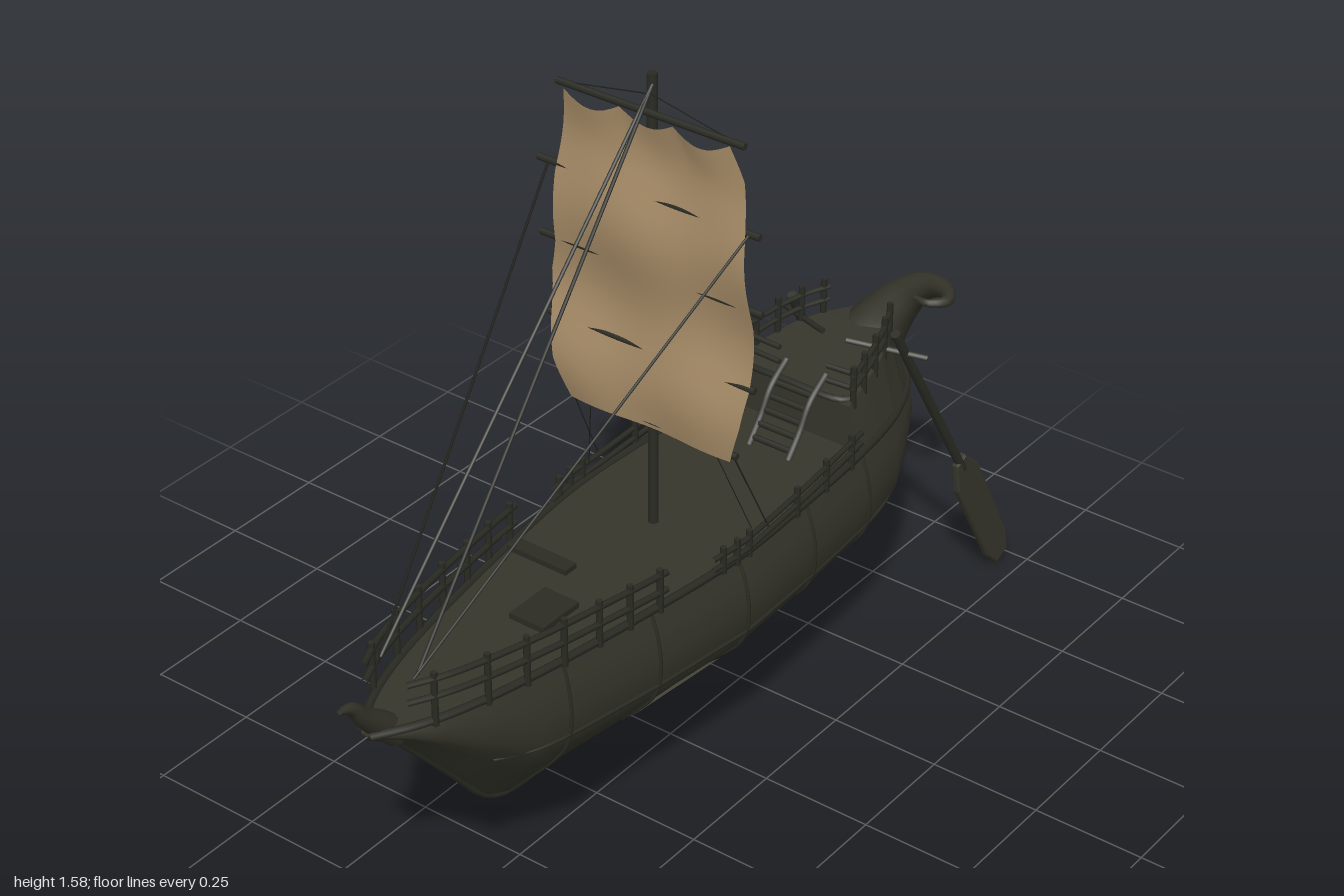
import * as THREE from 'three';

const D = THREE.DoubleSide;
const hullWood = new THREE.MeshStandardMaterial({ color: 0x35352b, side: D });
const trimWood = new THREE.MeshStandardMaterial({ color: 0x2b2b24 });
const rope = new THREE.MeshStandardMaterial({ color: 0x20201b });
const canvas = new THREE.MeshStandardMaterial({ color: 0xa88d68, side: D });
const paleWood = new THREE.MeshStandardMaterial({ color: 0x545344, side: D });

const V = (x, y, z) => new THREE.Vector3(x, y, z);
const DECK = 0.57;

// Linear lookup in rows sorted by their first value
function look(rows, t, col = 1) {
  if (t <= rows[0][0]) return rows[0][col];
  for (let i = 1; i < rows.length; i++) {
    const a = rows[i - 1], b = rows[i];
    if (t <= b[0]) return a[col] + (b[col] - a[col]) * (t - a[0]) / (b[0] - a[0]);
  }
  return rows[rows.length - 1][col];
}

// Hull stations: z, keel height, half width
const STATIONS = [
  [-0.77, 0.545, 0.045], [-0.74, 0.48, 0.08], [-0.69, 0.40, 0.125], [-0.62, 0.29, 0.16],
  [-0.55, 0.21, 0.185], [-0.41, 0.195, 0.21], [-0.19, 0.19, 0.227], [0.05, 0.185, 0.235],
  [0.30, 0.185, 0.205], [0.53, 0.187, 0.165], [0.60, 0.22, 0.15], [0.70, 0.335, 0.125],
  [0.80, 0.45, 0.09], [0.86, 0.515, 0.06], [0.93, 0.565, 0.012],
];
// Section shape: height fraction, width fraction
const SECTION = [[0, 0.02], [0.15, 0.33], [0.32, 0.68], [0.45, 0.89], [0.56, 0.98], [0.72, 1], [0.86, 0.96], [1, 0.88]];

function hullPoint(z, v, side, out = 0) {
  const keel = look(STATIONS, z, 1), w = look(STATIONS, z, 2);
  return V(side * (w * look(SECTION, v) + out), keel + (DECK - keel) * v - out * (v < 0.5 ? 0.6 : 0), z);
}

// Surface through a grid of points f(i, j)
function grid(ni, nj, f) {
  const pos = [], idx = [];
  for (let i = 0; i <= ni; i++) for (let j = 0; j <= nj; j++) pos.push(...f(i, j).toArray());
  for (let i = 0; i < ni; i++) for (let j = 0; j < nj; j++) {
    const a = i * (nj + 1) + j, b = a + nj + 1;
    idx.push(a, b, a + 1, b, b + 1, a + 1);
  }
  const g = new THREE.BufferGeometry();
  g.setAttribute('position', new THREE.Float32BufferAttribute(pos, 3));
  g.setIndex(idx);
  g.computeVertexNormals();
  return g;
}

export function createModel() {
  const model = new THREE.Group();
  const add = (name, geo, mat) => {
    const m = new THREE.Mesh(geo, mat);
    m.name = name;
    model.add(m);
    return m;
  };
  const bar = (name, a, b, r, mat = trimWood, sides = 6) => {
    const m = add(name, new THREE.CylinderGeometry(r, r, a.distanceTo(b), sides), mat);
    m.position.copy(a).lerp(b, 0.5);
    m.quaternion.setFromUnitVectors(V(0, 1, 0), b.clone().sub(a).normalize());
    return m;
  };
  const tube = (name, pts, r, mat = trimWood) =>
    add(name, new THREE.TubeGeometry(new THREE.CatmullRomCurve3(pts), pts.length * 4, r, 6), mat);
  // Tube whose radius follows a list spread along its path
  const taper = (name, rows, mat) => {
    const curve = new THREE.CatmullRomCurve3(rows.map(r => V(r[0], r[1], r[2])));
    const n = 40, ring = 12, g = new THREE.TubeGeometry(curve, n, 1, ring), p = g.attributes.position;
    for (let i = 0; i <= n; i++) {
      const c = curve.getPointAt(i / n), t = curve.getUtoTmapping(i / n) * (rows.length - 1);
      const r = look(rows.map((row, k) => [k, row[3]]), t);
      for (let j = 0; j <= ring; j++) {
        const k = i * (ring + 1) + j, q = V().fromBufferAttribute(p, k).sub(c).multiplyScalar(r).add(c);
        p.setXYZ(k, q.x, q.y, q.z);
      }
    }
    add(name, g, mat);
  };
  const range = (a, b, n) => Array.from({ length: n + 1 }, (_, i) => a + (b - a) * i / n);

  // Hull shell and deck
  const zs = STATIONS.map(s => s[0]), vs = SECTION.map(s => s[0]);
  const ring = [...vs.map(v => [v, 1]).reverse(), ...vs.map(v => [v, -1])];
  add('hull', grid(zs.length - 1, ring.length - 1, (i, j) => hullPoint(zs[i], ...ring[j])), hullWood);
  add('deck', grid(zs.length - 1, 1, (i, j) => hullPoint(zs[i], 1, j ? 1 : -1)), hullWood);
  add('sternPanel', grid(1, vs.length - 1, (i, j) => hullPoint(-0.77, vs[j], i ? 1 : -1)), hullWood);

  // Ribs, wales, gunwales and side panels
  for (const s of [-1, 1]) {
    for (const z of [-0.41, -0.19, 0.05, 0.3, 0.53])
      tube('rib', vs.map(v => hullPoint(z, v, s)), 0.004);
    tube('gunwale', zs.map(z => hullPoint(z, 1, s)), 0.009);
    tube('wale', range(-0.6, 0.68, 14).map(z => hullPoint(z, (0.4 - look(STATIONS, z)) / (DECK - look(STATIONS, z)), s)), 0.005);
    for (const [a, b] of [[0.06, 0.295], [-0.4, -0.2]])
      add('sidePanel', grid(6, 2, (i, j) => hullPoint(a + (b - a) * i / 6, 0.22 + 0.06 * j, s, 0.005)), paleWood);
  }

  // Keel, prow and skeg
  tube('keel', [...STATIONS].map(s => V(0, s[1], s[0])), 0.007);
  taper('prow', [[0, 0.53, 0.85, 0.03], [0, 0.575, 0.895, 0.028], [0, 0.615, 0.935, 0.02], [0, 0.65, 0.965, 0.013], [0, 0.662, 0.995, 0.006]], hullWood);
  const skeg = new THREE.Shape([[0.42, 0.2], [0.56, 0.2], [0.645, 0.188], [0.66, 0.23], [0.625, 0.29], [0.675, 0.39], [0.55, 0.33]]
    .map(p => new THREE.Vector2(...p)));
  const skegGeo = new THREE.ExtrudeGeometry(skeg, { depth: 0.024, bevelThickness: 0.01, bevelSize: 0.006, bevelSegments: 2 });
  add('skeg', skegGeo.translate(0, 0, -0.012).rotateY(Math.PI / 2), hullWood);

  // Raised stern cabin with sloping walls
  const POOP = [[-0.72, 0.04, 0.7], [-0.65, 0.085, 0.7], [-0.58, 0.115, 0.695], [-0.5, 0.135, 0.685], [-0.41, 0.15, 0.67]];
  const poopTop = (z, s, up = 0) => V(s * look(POOP, z, 1), look(POOP, z, 2) + up, z);
  const poopRing = (i, j) => {
    const z = POOP[i][0], s = j < 2 ? 1 : -1;
    return j === 0 || j === 3 ? hullPoint(z, 1, s) : poopTop(z, s);
  };
  const cabin = grid(4, 3, poopRing).toNonIndexed();
  cabin.computeVertexNormals();
  add('sternCabin', cabin, hullWood);
  add('cabinFront', grid(1, 1, (i, j) => i ? poopTop(-0.41, j ? 1 : -1) : hullPoint(-0.41, 1, j ? 1 : -1)), hullWood);
  tube('cabinRim', [poopTop(-0.44, -1), V(-0.12, 0.675, -0.415), V(0, 0.68, -0.405), V(0.12, 0.675, -0.415), poopTop(-0.44, 1)], 0.008);

  // Curling stern horn
  taper('sternHorn', [[0, 0.59, -0.65, 0.085], [0.01, 0.66, -0.705, 0.07], [0.04, 0.72, -0.74, 0.052], [0.08, 0.765, -0.76, 0.036],
    [0.13, 0.79, -0.757, 0.024], [0.18, 0.802, -0.725, 0.016], [0.195, 0.806, -0.69, 0.012], [0.17, 0.806, -0.663, 0.009], [0.13, 0.8, -0.675, 0.005]], hullWood);

  // Railings around bow, waist and stern
  const edge = (z, s, y) => { const p = hullPoint(z, 1, s, 0.006); p.y = y; return p; };
  for (const s of [-1, 1]) {
    const bowY = z => 0.645 + (z - 0.26) * 0.04;
    for (const d of [0, -0.04]) tube('bowRail', range(0.26, 0.87, 8).map(z => edge(z, s, bowY(z) + d)), 0.007);
    for (const z of [0.28, 0.36, 0.44, 0.53, 0.62, 0.71, 0.82]) bar('bowPost', edge(z, s, 0.56), edge(z, s, bowY(z) + 0.016), 0.007);
    const waistY = z => 0.605 + Math.max(0, -z) * 0.06;
    for (const d of [0, -0.025]) tube('waistRail', range(-0.4, 0.13, 6).map(z => edge(z, s, waistY(z) + d)), 0.006);
    for (const z of [-0.36, -0.26, -0.15, 0.02, 0.06, 0.1]) bar('waistPost', edge(z, s, 0.56), edge(z, s, waistY(z) + 0.018), 0.007);
    for (const d of [0.03, 0.06]) tube('sternRail', range(-0.66, -0.42, 4).map(z => poopTop(z, s, d)), 0.006);
    for (const z of [-0.65, -0.6, -0.54, -0.48, -0.43]) bar('sternPost', poopTop(z, s, -0.02), poopTop(z, s, 0.082), 0.007);
    // Front rail, leaving a gap for the ladder
    for (const y of [0.71, 0.745]) bar('cabinRail', V(s * 0.145, y, -0.42), V(s > 0 ? 0.09 : -0.03, y, -0.415), 0.006);
  }

  // Ladder up to the stern
  for (const x of [-0.02, 0.08])
    tube('ladderSide', [V(x, 0.57, -0.295), V(x, 0.62, -0.335), V(x, 0.675, -0.37), V(x, 0.715, -0.425)], 0.008);
  for (let i = 0; i < 5; i++)
    bar('ladderRung', V(-0.02, 0.585 + i * 0.024, -0.307 - i * 0.019), V(0.08, 0.585 + i * 0.024, -0.307 - i * 0.019), 0.007);

  // Deck hatch and beam
  const box = (name, w, h, d, x, y, z) => add(name, new THREE.BoxGeometry(w, h, d), trimWood).position.set(x, y, z);
  box('hatch', 0.085, 0.016, 0.11, 0.02, DECK + 0.005, 0.43);
  box('deckBeam', 0.15, 0.014, 0.035, -0.1, DECK + 0.005, 0.29);

  // Steering oars with flat blades
  const bladeShape = new THREE.Shape([[-0.016, 0.03], [0.016, 0.03], [0.04, -0.03], [0.038, -0.27], [0.022, -0.325], [-0.02, -0.325], [-0.036, -0.28], [-0.04, -0.03]]
    .map(p => new THREE.Vector2(...p)));
  const bladeGeo = new THREE.ExtrudeGeometry(bladeShape, { depth: 0.01, bevelThickness: 0.004, bevelSize: 0.004, bevelSegments: 1 })
    .translate(0, 0, -0.005).rotateY(Math.PI / 2);
  for (const [x0, x1, x2] of [[0.14, 0.175, 0.195], [-0.125, -0.14, -0.155]]) {
    const top = V(x0, 0.755, -0.59), neck = V(x1, 0.31, -0.825), tip = V(x2, 0.02, -0.965);
    bar('oarShaft', top, neck, 0.011, trimWood, 8);
    const blade = add('oarBlade', bladeGeo, hullWood);
    blade.position.copy(neck);
    blade.quaternion.setFromUnitVectors(V(0, -1, 0), tip.sub(neck).normalize());
    const s = Math.sign(x0);
    bar('oarSupport', V(s * 0.19, 0.69, -0.64), V(s * 0.03, 0.71, -0.57), 0.007);
  }

  // Mast and yards: height, left end, right end
  bar('mast', V(-0.005, 0.56, 0.05), V(-0.005, 1.58, 0.05), 0.011, trimWood, 10);
  const YARDS = [[0.82, -0.2, 0.215], [0.985, -0.25, 0.255], [1.16, -0.267, 0.27], [1.325, -0.27, 0.262], [1.505, -0.22, 0.225]];
  for (const [y, a, b] of YARDS) bar('yard', V(a, y, 0.068), V(b, y, 0.068), 0.0075);

  // Billowing sail with scalloped head
  const LEFT = [[0, -0.19], [0.12, -0.225], [0.25, -0.235], [0.4, -0.24], [0.5, -0.225], [0.73, -0.222], [1, -0.195]];
  const RIGHT = [[0, 0.205], [0.12, 0.23], [0.25, 0.245], [0.45, 0.25], [0.73, 0.238], [0.9, 0.225], [1, 0.195]];
  add('sail', grid(24, 40, (i, j) => {
    const u = i / 24, v = j / 40, belly = Math.sin(v * 4 * Math.PI);
    const x = look(LEFT, v) * (1 - u) + look(RIGHT, v) * u;
    const sag = 0.025 * Math.abs(Math.sin(3 * Math.PI * u)) * Math.max(0, (v - 0.8) / 0.2);
    return V(x, 0.81 + 0.69 * v - sag, 0.077 + 0.01 * belly + 0.004 * Math.sin(u * 9 + v * 7));
  }), canvas);

  // Rigging
  for (const s of [-1, 1]) {
    bar('forestay', V(0, 1.56, 0.055), V(s * 0.045, 0.67, 0.83), 0.004, rope, 5);
    bar('bowLine', V(s * 0.24, 1.325, 0.075), V(s * 0.045, 0.665, 0.84), 0.003, rope, 5);
    bar('yardLift', V(0, 1.54, 0.06), V(s * 0.21, 1.505, 0.068), 0.0015, rope, 4);
    bar('sheet', V(s * 0.2, 0.82, 0.065), V(s * 0.215, 0.6, -0.04), 0.0015, rope, 4);
    bar('sheet', V(s * 0.15, 0.82, 0.065), V(s * 0.21, 0.6, 0.0), 0.0015, rope, 4);
  }
  return model;
}
